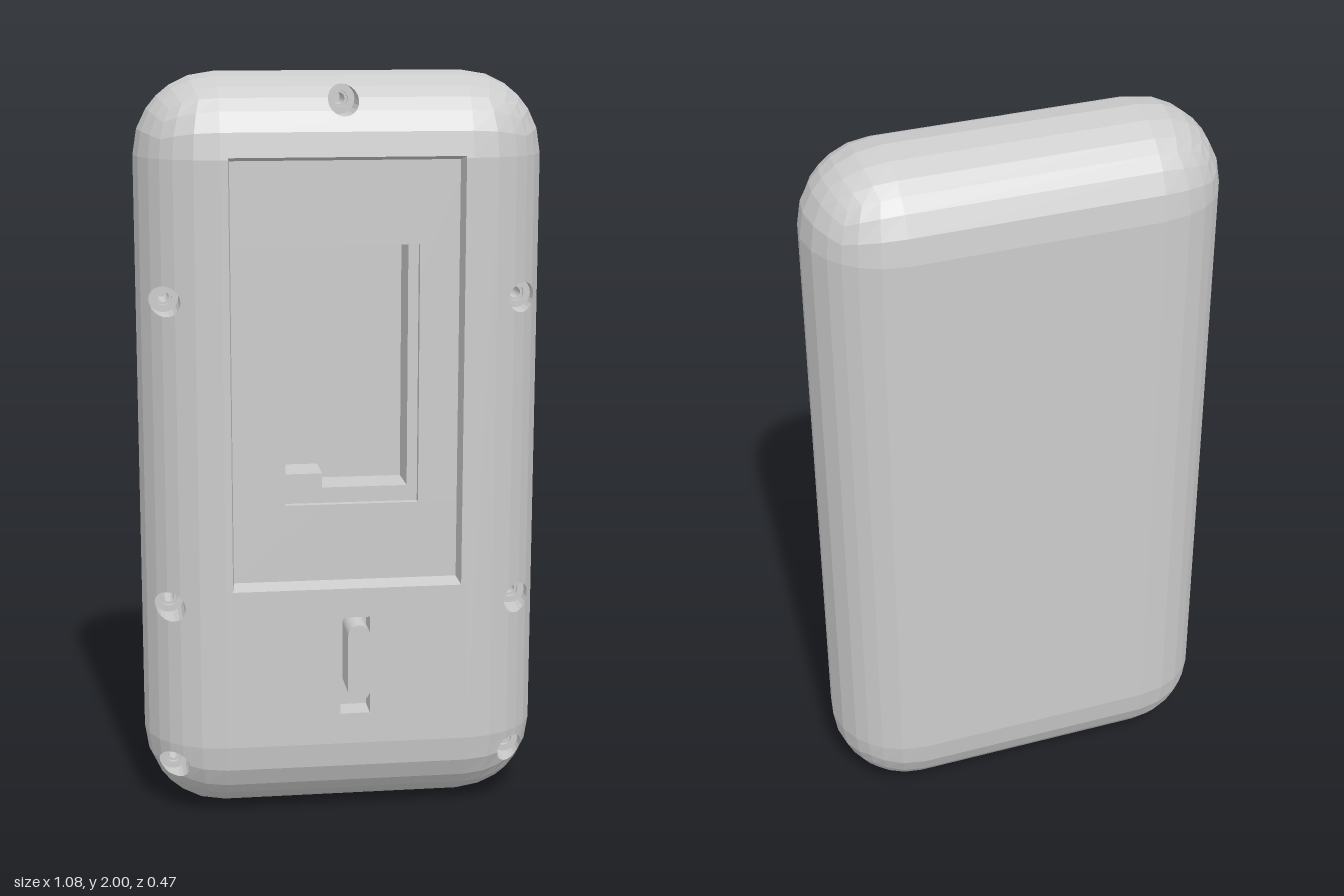
import * as THREE from 'three';
import { RoundedBoxGeometry } from 'three/addons/geometries/RoundedBoxGeometry.js';

const EPS = 1e-6;
const V = (x, y, z) => new THREE.Vector3(x, y, z);

// Area-weighted normal of a polygon
function polyNormal(p) {
  const n = V(0, 0, 0), c = V(0, 0, 0);
  for (let i = 1; i < p.length - 1; i++) {
    c.subVectors(p[i], p[0]).cross(V(0, 0, 0).subVectors(p[i + 1], p[0]));
    n.add(c);
  }
  return n;
}

// Signed distance of p from the line a-b in plan, positive to the left
const side = (p, a, b) =>
  ((b[0] - a[0]) * (p.y - a[1]) - (b[1] - a[1]) * (p.x - a[0])) / Math.hypot(b[0] - a[0], b[1] - a[1]);

function split(poly, a, b) {
  const inside = [], outside = [];
  const d = poly.map((p) => side(p, a, b));
  poly.forEach((p, i) => {
    const j = (i + 1) % poly.length;
    if (d[i] > -EPS) inside.push(p);
    if (d[i] < EPS) outside.push(p);
    if ((d[i] > EPS && d[j] < -EPS) || (d[i] < -EPS && d[j] > EPS)) {
      const m = p.clone().lerp(poly[j], d[i] / (d[i] - d[j]));
      inside.push(m);
      outside.push(m);
    }
  });
  return {
    inside: d.some((v) => v > EPS) ? inside : null,
    outside: d.some((v) => v < -EPS) ? outside : null,
  };
}

// Sink a pocket with a convex outline into all surfaces facing +z
function carve(polys, outline, floor, { taper = 1, keepFloor = true } = {}) {
  const n = outline.length;
  const cx = outline.reduce((s, p) => s + p[0], 0) / n;
  const cy = outline.reduce((s, p) => s + p[1], 0) / n;
  const sink = (p) => V(cx + (p.x - cx) * taper, cy + (p.y - cy) * taper, floor);
  const result = [];
  for (const poly of polys) {
    const pieces = [];
    let rest = polyNormal(poly).normalize().z > 0.05 ? poly : null;
    for (let i = 0; i < n && rest; i++) {
      const cut = split(rest, outline[i], outline[(i + 1) % n]);
      if (cut.outside) pieces.push(cut.outside);
      rest = cut.inside;
    }
    if (!rest) {
      result.push(poly);
      continue;
    }
    result.push(...pieces);
    if (keepFloor) result.push(rest.map(sink));
    rest.forEach((p, i) => {
      const q = rest[(i + 1) % rest.length];
      const onRim = outline.some((a, k) => {
        const b = outline[(k + 1) % n];
        return Math.abs(side(p, a, b)) < 1e-5 && Math.abs(side(q, a, b)) < 1e-5;
      });
      if (onRim) result.push([p, q, sink(q), sink(p)]);
    });
  }
  return result;
}

const rect = (x0, x1, y0, y1) => [[x0, y0], [x1, y0], [x1, y1], [x0, y1]];
const circle = (x, y, r, n = 20) => Array.from({ length: n }, (_, i) => {
  const a = (i / n) * Math.PI * 2;
  return [x + r * Math.cos(a), y + r * Math.sin(a)];
});

function toPolys(geometry) {
  const g = geometry.index ? geometry.toNonIndexed() : geometry;
  const pos = g.attributes.position, out = [];
  for (let i = 0; i < pos.count; i += 3) {
    const tri = [0, 1, 2].map((k) => V(0, 0, 0).fromBufferAttribute(pos, i + k));
    if (polyNormal(tri).length() > 1e-8) out.push(tri);
  }
  return out;
}

function toGeometry(polys) {
  const pos = [];
  for (const p of polys) {
    for (let i = 1; i < p.length - 1; i++) {
      const tri = [p[0], p[i], p[i + 1]];
      if (polyNormal(tri).length() > 1e-9) tri.forEach((v) => pos.push(v.x, v.y, v.z));
    }
  }
  const g = new THREE.BufferGeometry();
  g.setAttribute('position', new THREE.Float32BufferAttribute(pos, 3));
  g.computeVertexNormals();
  return g;
}

export function createModel() {
  const group = new THREE.Group();
  const material = new THREE.MeshStandardMaterial({ color: 0xcccccc, flatShading: true });
  const add = (name, geometry) => {
    const mesh = new THREE.Mesh(geometry, material);
    mesh.name = name;
    group.add(mesh);
  };

  // Pillow-edged case
  const box = new RoundedBoxGeometry(1.08, 2, 0.43, 3, 0.215);
  box.translate(0, 1, -0.02);
  let body = toPolys(box);

  // Connector port in the bottom edge, cut with the case turned bottom to front
  body = body.map((p) => p.map((v) => V(v.x, v.z, -v.y)));
  body = carve(body, rect(-0.17, 0.195, -0.08, 0.04), -0.1);
  body = body.map((p) => p.map((v) => V(v.x, -v.z, v.y)));

  // Screen recess with sloping sides, and the window in its floor
  const windowOutline = rect(-0.16, 0.195, 0.87, 1.56);
  body = carve(body, rect(-0.306, 0.306, 0.65, 1.79), 0.145, { taper: 0.98 });
  body = carve(body, windowOutline, 0.125, { keepFloor: false });

  // Switch slot
  body = carve(body, rect(-0.02, 0.06, 0.3, 0.57), 0.12);

  // Stepped screw holes
  const screws = [[-0.005, 1.93], [-0.47, 1.42], [0.47, 1.415], [-0.47, 0.6],
    [0.47, 0.59], [-0.465, 0.15], [0.46, 0.155]];
  for (const [x, y] of screws) {
    body = carve(body, circle(x, y, 0.04), 0.05);
    body = carve(body, circle(x, y, 0.022), 0.04);
    body = carve(body, circle(x, y, 0.015), -0.06);
  }
  add('case', toGeometry(body));

  // Hollow behind the window, with a deeper well
  const hollow = rect(-0.29, 0.29, 0.7, 1.74);
  let cavity = [hollow.map(([x, y]) => V(x, y, 0.125))];
  cavity = carve(cavity, hollow, -0.045);
  cavity = carve(cavity, windowOutline, -0.165);
  add('cavity', toGeometry(cavity));

  // Small block in the corner of the well
  const block = new THREE.BoxGeometry(0.12, 0.04, 0.12);
  block.translate(-0.1, 0.89, -0.105);
  add('wellBlock', block);

  // Round-ended slide switch
  const r = 0.03;
  const s = new THREE.Shape();
  s.absarc(0, 0.075, r, 0, Math.PI);
  s.absarc(0, -0.075, r, Math.PI, Math.PI * 2);
  const slider = new THREE.ExtrudeGeometry(s, { depth: 0.12, bevelEnabled: false, curveSegments: 8 });
  slider.translate(0.025, 0.455, 0.117);
  add('slideSwitch', slider);

  return group;
}
